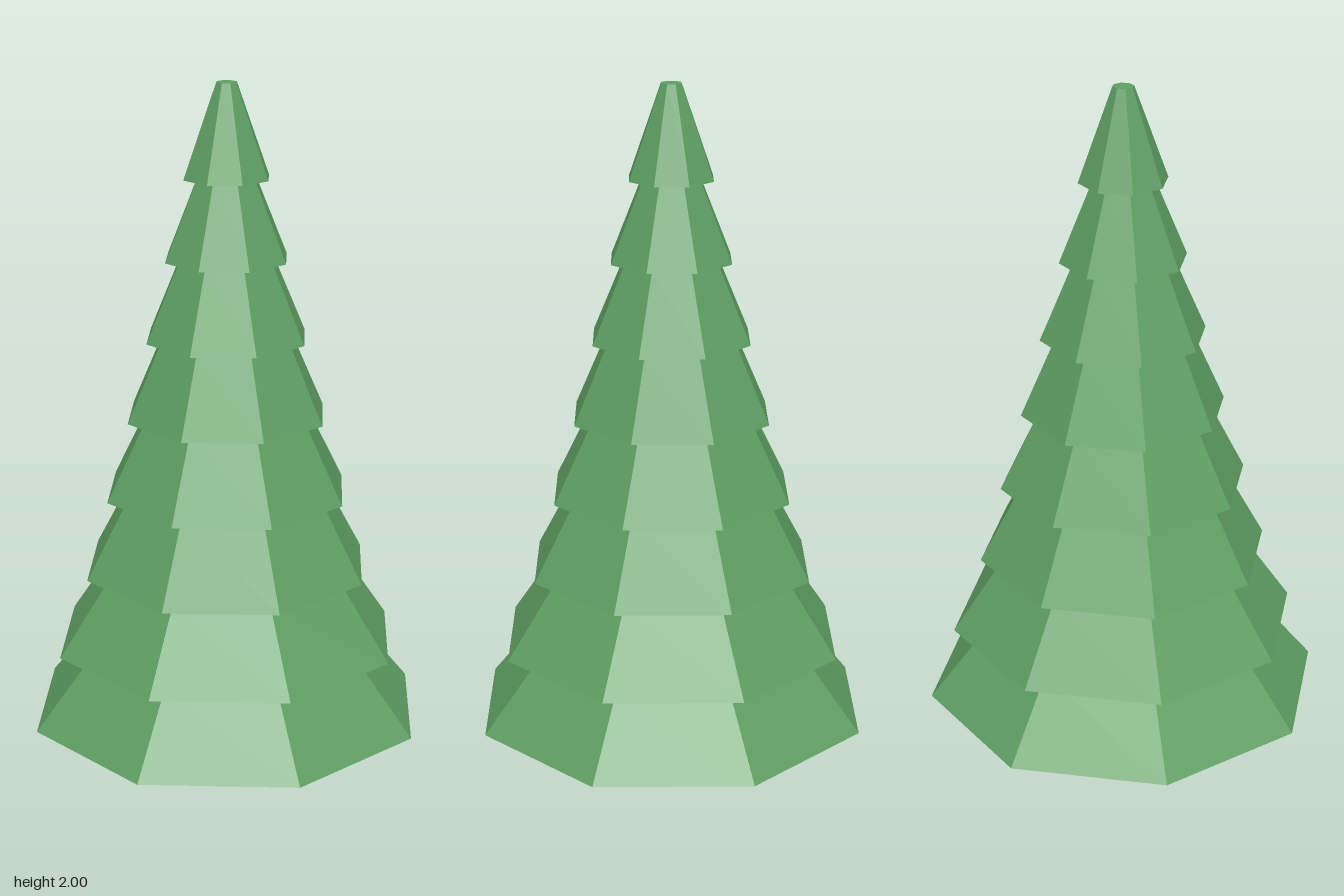
import * as THREE from 'three';

const SIDES = 8;

export function createModel() {
  const tree = new THREE.Group();
  tree.name = 'pineTree';
  const green = new THREE.MeshStandardMaterial({ color: 0x5f9f63, flatShading: true });
  const brown = new THREE.MeshStandardMaterial({ color: 0x7d6452, flatShading: true });

  // Trunk, reaching up into the lowest tier
  const trunk = new THREE.Mesh(new THREE.CylinderGeometry(0.125, 0.125, 0.14, SIDES), brown);
  trunk.name = 'trunk';
  trunk.position.y = 0.07;
  tree.add(trunk);

  // Skirt of each tier: [height of rim, rim radius, radius where it meets the next tier]
  const tiers = [
    [0.15, 0.585, 0.408],
    [0.37, 0.51, 0.355],
    [0.598, 0.424, 0.3],
    [0.826, 0.36, 0.245],
    [1.054, 0.296, 0.195],
    [1.281, 0.238, 0.14],
    [1.508, 0.181, 0.087],
    [1.736, 0.126, 0.03],
  ];
  const foliage = new THREE.Group();
  foliage.name = 'foliage';
  tiers.forEach(([y, rim, neck], i) => {
    const first = i === 0, last = i === tiers.length - 1;
    const topY = last ? 2 : tiers[i + 1][0];
    // Underside (bulging slightly down on the lowest tier), sloping skirt, flat tip on the last
    const profile = [
      first ? [0, 0.12] : [tiers[i - 1][2], y],
      [rim, y],
      [neck, topY],
    ];
    if (last) profile.push([0, topY]);
    const geometry = new THREE.LatheGeometry(profile.map(p => new THREE.Vector2(...p)), SIDES).toNonIndexed();
    geometry.computeVertexNormals();
    const tier = new THREE.Mesh(geometry, green);
    tier.name = `foliageTier${i + 1}`;
    foliage.add(tier);
  });
  tree.add(foliage);
  return tree;
}
